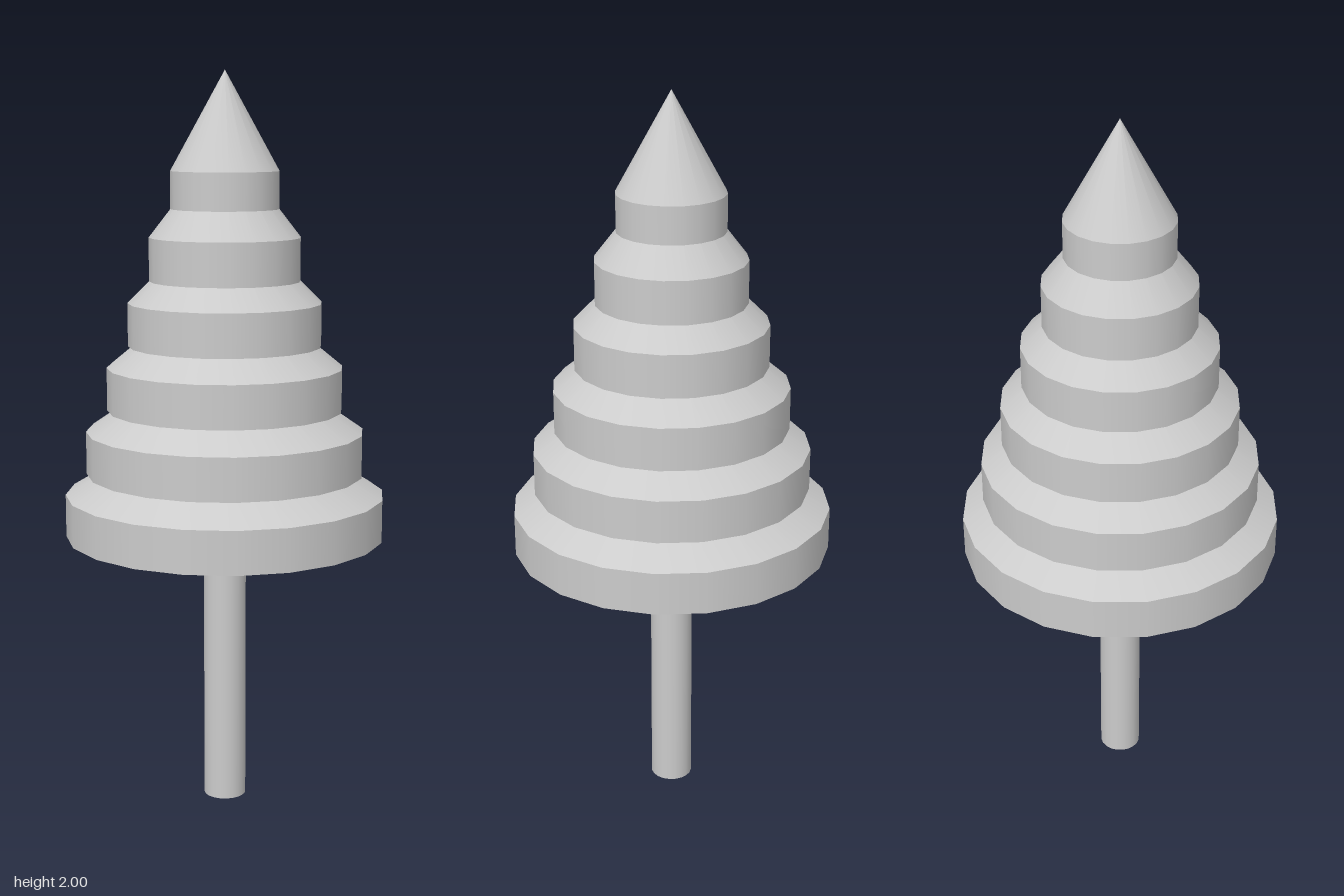
import * as THREE from 'three';

const U = 2 / 34.5; // base module: every dimension is a multiple of it
const SIDES = 20;

export function createModel() {
  const tree = new THREE.Group();
  tree.name = 'tree';
  const material = new THREE.MeshStandardMaterial({ color: 0xcccccc });

  const add = (parent, name, geometry, y) => {
    const mesh = new THREE.Mesh(geometry, material);
    mesh.name = name;
    mesh.position.y = y;
    parent.add(mesh);
  };

  // Trunk
  add(tree, 'trunk', new THREE.CylinderGeometry(U, U, 13 * U, SIDES), 6.5 * U);

  // Foliage tiers: a straight rim topped by a cone, each narrower than the one below
  for (let i = 0; i < 6; i++) {
    const tier = new THREE.Group();
    tier.name = `foliageTier${i + 1}`;
    tier.position.y = (13 + 3 * i) * U;
    const radius = (7.5 - i) * U;
    add(tier, 'rim', new THREE.CylinderGeometry(radius, radius, 2 * U, SIDES), U);
    add(tier, 'cone', new THREE.ConeGeometry(radius, 4.5 * U, SIDES, 1, true), 4.25 * U);
    tree.add(tier);
  }
  return tree;
}
